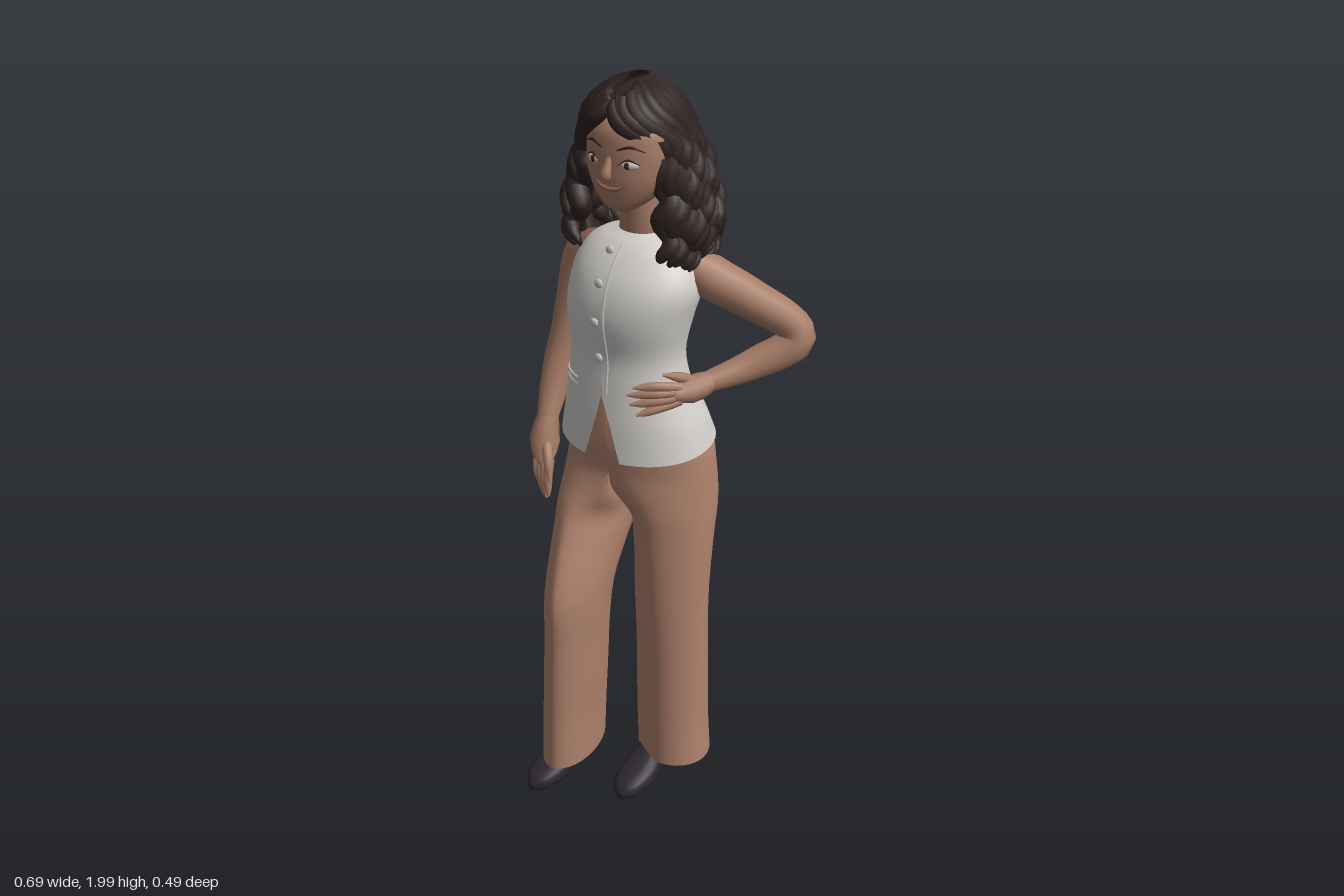
import * as THREE from 'three';

const mat = (name, color, side = THREE.FrontSide) => {
  const m = new THREE.MeshStandardMaterial({ color, side });
  m.name = name;
  return m;
};
const { lerp, smoothstep } = THREE.MathUtils;

// Smooth interpolation of rows [y, x0, x1, z0, z1, tilt, gap], with y ascending
function spline(rows) {
  const w = Math.max(...rows.map(r => r.length)) - 1;
  const vals = rows.flatMap(r => Array.from({ length: w }, (_, i) => r[i + 1] ?? 0));
  const it = new THREE.CubicInterpolant(rows.map(r => r[0]), vals, w, new Float64Array(w));
  return y => Array.from(it.evaluate(y));
}

// Depth of the front surface of a loft at (x, y)
function frontZ(rows, y, x, p = 2) {
  const [x0, x1, z0, z1] = spline(rows)(y);
  const u = Math.min(1, Math.abs(x - (x0 + x1) / 2) / ((x1 - x0) / 2));
  return (z0 + z1) / 2 + (z1 - z0) / 2 * (1 - u ** p) ** (1 / p);
}

// Skin through oval rings; pf shapes the front half, skew leans rings sideways, gap opens the front, clip limits x
function loft(rows, { seg = 32, p = 2, pf = () => p, sub = 4, caps = true, skew = () => 0, clip = x => x } = {}) {
  const f = spline(rows), open = rows.some(r => r[6]), cols = open ? seg + 1 : seg;
  const pos = [], idx = [], ys = [];
  rows.forEach((r, i) => {
    if (i) for (let k = 1; k <= sub; k++) ys.push(lerp(rows[i - 1][0], r[0], k / sub));
    else ys.push(r[0]);
  });
  const pw = (v, e) => Math.sign(v) * Math.abs(v) ** (2 / e);
  for (const y of ys) {
    const [x0, x1, z0, z1, tilt = 0, gap = 0] = f(y);
    const g = Math.max(0, gap);
    for (let j = 0; j < cols; j++) {
      const a = g + (j / seg) * (Math.PI * 2 - 2 * g), s = Math.sin(a), c = Math.cos(a);
      const e = c > 0 ? pf(y) : p;
      const dz = (z1 - z0) / 2 * pw(c, e), z = (z0 + z1) / 2 + dz;
      pos.push(clip((x0 + x1) / 2 + (x1 - x0) / 2 * pw(s, e) + dz * skew(y), y), y - tilt * z, z);
    }
  }
  for (let i = 0; i < ys.length - 1; i++) for (let j = 0; j < seg; j++) {
    const a = i * cols + j, b = i * cols + (j + 1) % cols;
    idx.push(a, b, b + cols, a, b + cols, a + cols);
  }
  if (caps) [0, ys.length - 1].forEach(i => {
    const r = f(ys[i]), c = pos.length / 3;
    pos.push((r[0] + r[1]) / 2, ys[i], (r[2] + r[3]) / 2);
    for (let j = 0; j < seg; j++) {
      const a = i * cols + j, b = i * cols + (j + 1) % cols;
      i ? idx.push(a, b, c) : idx.push(b, a, c);
    }
  });
  const g = new THREE.BufferGeometry();
  g.setAttribute('position', new THREE.Float32BufferAttribute(pos, 3));
  g.setIndex(idx);
  g.computeVertexNormals();
  return g;
}

// Tube through points whose thickness follows a list of radii
function limb(points, radii, seg = 20, sides = 10) {
  const curve = new THREE.CatmullRomCurve3(points.map(p => new THREE.Vector3(...p)));
  const g = new THREE.TubeGeometry(curve, seg, 1, sides), P = g.attributes.position, v = new THREE.Vector3();
  for (let i = 0; i <= seg; i++) {
    const c = curve.getPointAt(i / seg), t = i / seg * (radii.length - 1), k = Math.min(radii.length - 2, Math.floor(t));
    const r = lerp(radii[k], radii[k + 1], t - k);
    for (let j = 0; j <= sides; j++) {
      const n = i * (sides + 1) + j;
      v.fromBufferAttribute(P, n).sub(c).multiplyScalar(r).add(c);
      P.setXYZ(n, v.x, v.y, v.z);
    }
  }
  return g;
}

export function createModel() {
  const root = new THREE.Group();
  root.name = 'standingWoman';
  const skin = mat('skin', 0xa67b66), cloth = mat('trouserCloth', 0xb3856f, THREE.DoubleSide);
  const linen = mat('vestLinen', 0xd2cfcb, THREE.DoubleSide), trim = mat('vestTrim', 0xc6c3c0);
  const hairMat = mat('hair', 0x2f2121, THREE.DoubleSide), leather = mat('shoeLeather', 0x2d2632);
  const white = mat('eyeWhite', 0xc6bcb6), dark = mat('iris', 0x3d291f), lip = mat('lips', 0x946152);
  const add = (name, geo, m, parent = root) => {
    const mesh = new THREE.Mesh(geo, m);
    mesh.name = name;
    parent.add(mesh);
    return mesh;
  };
  const ball = (name, m, [x, y, z], [sx, sy, sz]) => {
    const b = add(name, new THREE.SphereGeometry(1, 18, 12), m);
    b.position.set(x, y, z);
    b.scale.set(sx, sy, sz);
    return b;
  };

  // Vest, open in an inverted V below the last button
  const vest = [[1.07, -0.27, 0.15, -0.178, 0.142, 0.13, 0.24], [1.15, -0.252, 0.13, -0.152, 0.136, 0.05, 0.12],
    [1.23, -0.234, 0.1, -0.118, 0.128, 0, 0.001], [1.32, -0.225, 0.085, -0.102, 0.122], [1.42, -0.23, 0.105, -0.118, 0.138],
    [1.5, -0.225, 0.122, -0.13, 0.125], [1.56, -0.208, 0.1, -0.125, 0.092], [1.602, -0.165, 0.055, -0.105, 0.052], [1.62, -0.112, 0, -0.085, 0.022]];
  add('vest', loft(vest, { seg: 48, p: 2.1, caps: false }), linen);
  const seam = [1.23, 1.32, 1.42, 1.5, 1.56, 1.6].map(y => [-0.052, y, frontZ(vest, y, -0.052)]);
  add('vestPlacket', limb(seam, [0.003, 0.003], 24, 6), trim);
  for (const y of [1.32, 1.42, 1.515, 1.585]) ball('button', trim, [-0.077, y, frontZ(vest, y, -0.077) + 0.002], [0.012, 0.012, 0.006]);
  const welt = [-0.225, -0.21, -0.185, -0.15].map(x => [x, 1.233, frontZ(vest, 1.233, x, 2.1)]);
  for (const dy of [-0.009, 0.009]) add('pocketWelt', limb(welt.map(([x, y, z]) => [x, y + dy, z]), [0.003, 0.005, 0.003], 10, 6), trim);

  // Trousers: each half runs from waist to hem and meets the other at the centre seam
  const hips = [[1.0, -0.268, 0.148, -0.178, 0.112], [1.08, -0.262, 0.142, -0.165, 0.12], [1.2, -0.222, 0.09, -0.11, 0.11]];
  const centre = y => -0.06 - Math.max(0, 0.9 - y) * 0.1;
  const crease = y => lerp(1.9, 1.65, smoothstep(y, 0.08, 0.55)) + 0.4 * smoothstep(y, 0.8, 1);
  const trousers = { p: 2.1, pf: crease, caps: false, seg: 48, skew: y => 0.2 * (1 - smoothstep(y, 0.45, 0.95)) };
  add('leftTrouserLeg', loft([[0.08, -0.1, 0.119, -0.19, 0.022], [0.2, -0.098, 0.12, -0.175, 0.027], [0.4, -0.09, 0.128, -0.155, 0.04], [0.6, -0.084, 0.135, -0.142, 0.058],
    [0.8, -0.075, 0.146, -0.146, 0.078], [0.88, -0.085, 0.148, -0.162, 0.09], [0.94, -0.16, 0.148, -0.174, 0.102], ...hips],
  { ...trousers, clip: (x, y) => Math.max(x, centre(y)) }), cloth);
  add('rightTrouserLeg', loft([[0.08, -0.299, -0.148, -0.07, 0.212], [0.2, -0.291, -0.138, -0.065, 0.218], [0.35, -0.281, -0.12, -0.053, 0.226], [0.5, -0.27, -0.103, -0.04, 0.234],
    [0.62, -0.258, -0.088, -0.035, 0.24], [0.7, -0.256, -0.079, -0.055, 0.222], [0.8, -0.26, -0.068, -0.1, 0.185], [0.88, -0.265, -0.05, -0.145, 0.152], [0.94, -0.268, 0.035, -0.172, 0.126], ...hips],
  { ...trousers, clip: (x, y) => Math.min(x, centre(y)) }), cloth);

  // High-heeled shoes, lofted from heel to toe and laid along z
  const shoeGeo = loft([[0, -0.022, 0.022, -0.105, -0.07], [0.03, -0.037, 0.037, -0.13, -0.062], [0.08, -0.04, 0.04, -0.135, -0.045], [0.13, -0.044, 0.044, -0.105, -0.018],
    [0.18, -0.052, 0.052, -0.078, 0], [0.225, -0.046, 0.046, -0.058, 0], [0.26, -0.028, 0.028, -0.038, 0], [0.275, -0.008, 0.008, -0.022, -0.004]], { seg: 20, p: 2.5 }).rotateX(Math.PI / 2);
  for (const [name, x, z, turn] of [['left', -0.02, -0.14, 0], ['right', -0.22, -0.03, -0.08]]) {
    const foot = new THREE.Group();
    foot.name = name + 'Shoe';
    foot.position.set(x, 0, z);
    foot.rotation.y = turn;
    add('shoe', shoeGeo, leather, foot);
    add('heel', new THREE.CylinderGeometry(0.02, 0.01, 0.085, 12).translate(0, 0.0425, 0.022), leather, foot);
    add('ankle', limb([[0, 0.1, 0.055], [0, 0.16, 0.06], [0, 0.24, 0.07]], [0.034, 0.03, 0.03], 8), skin, foot);
    root.add(foot);
  }

  // Arms
  add('rightArm', limb([[-0.165, 1.57, -0.04], [-0.232, 1.515, -0.04], [-0.268, 1.4, -0.036], [-0.29, 1.27, -0.018], [-0.3, 1.16, 0.015], [-0.3, 1.06, 0.055]],
    [0.015, 0.054, 0.051, 0.045, 0.042, 0.043, 0.037, 0.027], 30, 16), skin);
  add('leftArm', limb([[0.05, 1.57, -0.04], [0.115, 1.525, -0.06], [0.2, 1.465, -0.118], [0.29, 1.388, -0.185], [0.302, 1.354, -0.185], [0.215, 1.29, -0.11], [0.138, 1.254, -0.022]],
    [0.015, 0.056, 0.053, 0.049, 0.045, 0.045, 0.042, 0.034, 0.026], 36, 16), skin);

  // Relaxed right hand
  add('rightPalm', limb([[-0.3, 1.08, 0.045], [-0.296, 1.03, 0.068], [-0.29, 0.96, 0.085], [-0.288, 0.935, 0.088]], [0.026, 0.034, 0.04, 0.032, 0.008], 14, 12), skin);
  for (let i = 0; i < 4; i++) {
    const o = (i - 1.5) * 0.019, drop = [0.02, 0, 0, 0.014][i];
    add('rightFinger', limb([[-0.289 + o, 0.975, 0.082 + o * 0.5], [-0.284 + o, 0.925, 0.1 + o * 0.5], [-0.274 + o * 0.8, 0.86 + drop, 0.104 + o * 0.5]], [0.012, 0.013, 0.012, 0.011, 0.003], 10, 8), skin);
  }
  add('rightThumb', limb([[-0.285, 1.03, 0.08], [-0.256, 0.975, 0.11], [-0.243, 0.92, 0.122]], [0.014, 0.015, 0.012, 0.003], 10, 8), skin);

  // Left hand resting on the hip
  add('leftPalm', limb([[0.15, 1.26, -0.035], [0.13, 1.252, 0.015], [0.108, 1.248, 0.056], [0.092, 1.247, 0.077]], [0.025, 0.033, 0.034, 0.025, 0.006], 14, 12), skin);
  for (let i = 0; i < 4; i++) {
    const y = 1.276 - i * 0.02, tip = [0.03, 0.012, 0.02, 0.04][i];
    add('leftFinger', limb([[0.118, lerp(y, 1.25, 0.4), 0.05], [0.082, y, 0.098], [tip, y - 0.006 - i * 0.004, 0.13]], [0.012, 0.013, 0.012, 0.011, 0.003], 10, 8), skin);
  }
  add('leftThumb', limb([[0.135, 1.257, 0], [0.115, 1.283, 0.034], [0.08, 1.298, 0.075]], [0.016, 0.015, 0.012, 0.003], 10, 8), skin);

  // Head and neck
  const cx = -0.057;
  add('neck', limb([[cx, 1.57, -0.045], [cx, 1.63, -0.035], [cx, 1.74, -0.02]], [0.08, 0.056, 0.052, 0.052], 10, 20), skin);
  const head = [[1.686, 0.02, 0.02, 0.066], [1.7, 0.046, -0.01, 0.084], [1.73, 0.08, -0.05, 0.094], [1.77, 0.106, -0.085, 0.1], [1.81, 0.118, -0.115, 0.1],
    [1.85, 0.118, -0.125, 0.099], [1.9, 0.106, -0.115, 0.086], [1.93, 0.075, -0.09, 0.045], [1.945, 0.03, -0.05, 0.0]].map(([y, r, a, b]) => [y, cx - r, cx + r, a, b]);
  add('head', loft(head, { p: 2.15 }), skin);
  const face = (x, y, d = 0) => [cx + x, y, frontZ(head, y, cx + x, 2.15) + d];
  add('nose', limb([face(0, 1.83, -0.004), face(0, 1.808, 0.006), face(0, 1.79, 0.012), face(0, 1.778, -0.004)], [0.007, 0.01, 0.014, 0.004], 12), skin);
  add('mouth', limb([[-0.044, 1.767], [-0.025, 1.756], [0, 1.752], [0.025, 1.756], [0.044, 1.767]].map(q => face(...q)), [0.001, 0.005, 0.006, 0.005, 0.001], 16, 8), lip);
  for (const s of [-1, 1]) {
    const turn = s * 0.3;
    ball('eye', white, face(s * 0.05, 1.816, -0.006), [0.024, 0.012, 0.011]).rotation.y = turn;
    ball('iris', dark, face(s * 0.049, 1.816, 0.002), [0.008, 0.009, 0.004]).rotation.y = turn;
    add('upperLid', limb([[0.026, 1.815], [0.05, 1.83], [0.076, 1.819]].map(([x, y]) => face(s * x, y, 0.002)), [0.001, 0.003, 0.001], 10, 6), dark);
    add('eyebrow', limb([[0.022, 1.85], [0.055, 1.86], [0.085, 1.848]].map(([x, y]) => face(s * x, y)), [0.002, 0.004, 0.001], 10, 6), hairMat);
    ball('ear', skin, [cx + s * 0.12, 1.805, -0.005], [0.012, 0.034, 0.02]);
    ball('earring', white, [cx + s * 0.129, 1.772, 0.002], [0.006, 0.008, 0.006]);
  }

  // Hair: an inner volume under rows of wavy locks falling from a centre parting
  const hx = -0.074, hz = -0.05;
  // height, half width, depth to front, depth to back
  const env = [[1.46, 0.14, 0.12, 0.122], [1.56, 0.174, 0.128, 0.15], [1.63, 0.18, 0.125, 0.153], [1.7, 0.17, 0.105, 0.15], [1.78, 0.148, 0.1, 0.132],
    [1.86, 0.126, 0.125, 0.108], [1.91, 0.106, 0.142, 0.086], [1.945, 0.078, 0.115, 0.062], [1.965, 0.048, 0.085, 0.042], [1.98, 0.012, 0.05, 0.015]];
  const shape = spline(env);
  const gaps = [1.15, 1.1, 1.15, 1.15, 0.95, 0.4, 0.06, 0.001, 0.001];
  add('hairVolume', loft(env.slice(1).map(([y, r, f, b], i) => [y, hx - r * 0.97, hx + r * 0.97, hz - b * 0.97, hz + f * 0.95, 0, gaps[i]])), hairMat);
  const rnd = n => { const v = Math.sin(n * 127.1) * 43758.5453; return v - Math.floor(v); };
  function lock(side, u, end, swell, thick, seed) {
    const pts = [], n = 26, top = 1.978 - 0.03 * Math.max(0, 1 - u * 3);
    for (let i = 0; i <= n; i++) {
      const t = i / n, y = lerp(top, end, t ** 1.3), [rx, rf, rb] = shape(y);
      const s = smoothstep(1.96 - y, 0, 0.12), wave = smoothstep(t, 0.2, 0.6), ph = y * 66 + seed * 2.1;
      const a = lerp(lerp(0.06, Math.PI, u), lerp(0.86, Math.PI, u), s) + wave * 0.09 * Math.sin(ph);
      const k = lerp(1, swell, wave) + wave * 0.055 * Math.cos(ph), c = Math.cos(a);
      pts.push([hx + side * rx * k * Math.sin(a), y, hz + (c > 0 ? rf : rb) * k * c]);
    }
    return limb(pts, [0.016, thick * 0.75, thick * 0.85, thick, thick * 1.05, thick, thick * 0.8, 0.003], 52, 8);
  }
  for (const side of [-1, 1]) {
    for (let i = 0; i < 14; i++) {
      const u = i / 13, r = rnd(i + side * 40 + 99);
      add('hairLock', lock(side, u, lerp(1.54, 1.47, u) + r * 0.03, 1, 0.03, i * 0.7 + r), hairMat);
    }
    for (let i = 0; i < 8; i++) {
      const r = rnd(i * 3 + side * 17 + 50);
      add('shortLock', lock(side, (i + 0.4) / 8, 1.52 + r * 0.09, 1.07, 0.025, i * 1.2 + r * 2), hairMat);
    }
  }
  return root;
}
